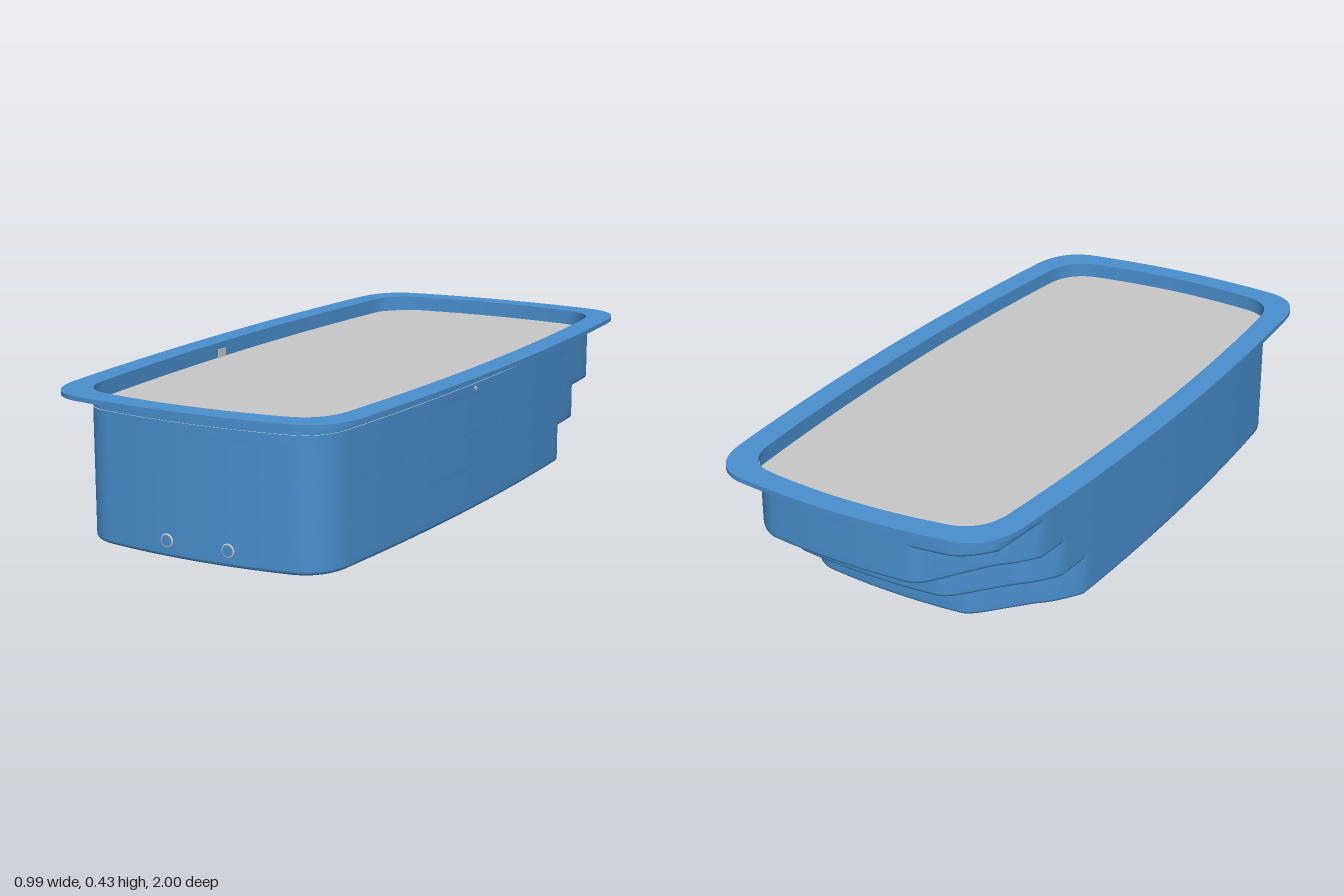
import * as THREE from 'three';

const blue = new THREE.MeshStandardMaterial({ color: 0x4a90d0, side: THREE.DoubleSide });
blue.name = 'shell blue';
const grey = new THREE.MeshStandardMaterial({ color: 0xc8c8c8, side: THREE.DoubleSide });
grey.name = 'water grey';

// bowed rectangle with soft corners, inset by d (shape y points to the back)
function outline(d, Type = THREE.Shape) {
  const w = 0.497 - d, xs = 0.464 - d, zc = 0.81 - d * 0.4;
  const b = 1 - d, zs = 0.978 - d, xe = 0.32 - d * 0.6;
  const kx = 0.45 - d, kz = 0.965 - d;
  const s = new Type();
  s.moveTo(xs, -zc);
  s.quadraticCurveTo(2 * w - xs, 0, xs, zc);
  s.quadraticCurveTo(kx, kz, xe, zs);
  s.quadraticCurveTo(0, 2 * b - zs, -xe, zs);
  s.quadraticCurveTo(-kx, kz, -xs, zc);
  s.quadraticCurveTo(-(2 * w - xs), 0, -xs, -zc);
  s.quadraticCurveTo(-kx, -kz, -xe, -zs);
  s.quadraticCurveTo(0, -(2 * b - zs), xe, -zs);
  s.quadraticCurveTo(kx, -kz, xs, -zc);
  return s;
}

function add(group, name, geometry, material) {
  const m = new THREE.Mesh(geometry, material);
  m.name = name;
  group.add(m);
  return m;
}

// tub outline whose back edge sits at "back" and recedes by "wave" on one side
function tierPoints(back, wave) {
  const edge = x => {
    const a = Math.abs(x);
    return back - 0.02 * (x / 0.28) ** 2 - 0.1 * (Math.max(0, a - 0.28) / 0.13) ** 2
      - wave * (1 - THREE.MathUtils.smoothstep(x, -0.34, -0.17));
  };
  const half = y => 0.427 - 0.033 * (y / 0.782) ** 2;
  const full = outline(0.07).getPoints(24);
  const front = full.filter(p => p.y <= 0);
  const right = [], left = [], rear = [];
  // front loop runs from the left-hand side round to the right-hand side
  const split = front.findIndex((p, i) => i > 0 && front[i - 1].x > 0 && p.x < 0 && p.y > -0.2);
  const loop = [...front.slice(split), ...front.slice(0, split)];
  const meet = sign => {
    let y = 0.6;
    for (let i = 0; i < 12; i++) y = edge(sign * half(y));
    return y;
  };
  const yr = meet(1), yl = meet(-1);
  for (let i = 1; i < 16; i++) {
    right.push(new THREE.Vector2(half(yr * i / 16), yr * i / 16));
    left.unshift(new THREE.Vector2(-half(yl * i / 16), yl * i / 16));
  }
  for (let i = 0; i <= 60; i++) {
    const x = THREE.MathUtils.lerp(half(yr), -half(yl), i / 60);
    rear.push(new THREE.Vector2(x, edge(x)));
  }
  const pts = [...loop, ...right, ...rear, ...left];
  return pts.filter((p, i) => p.distanceTo(pts[(i + 1) % pts.length]) > 1e-4);
}

// wall with a rounded bottom edge plus its underside
function addTier(group, name, pts, y0, y1) {
  const n = pts.length, r = 0.012;
  const inward = pts.map((p, i) => {
    const t = pts[(i + 1) % n].clone().sub(pts[(i + n - 1) % n]).normalize();
    return new THREE.Vector2(-t.y, t.x);
  });
  const levels = [];
  for (let k = 0; k <= 4; k++) {
    const a = k / 4 * Math.PI / 2;
    levels.push([y0 + r * (1 - Math.cos(a)), r * (1 - Math.sin(a))]);
  }
  levels.push([y0 + 0.03, 0], [y1, 0]);
  const pos = [], index = [];
  levels.forEach(([y, inset], k) => {
    for (let i = 0; i < n; i++) {
      const p = pts[i].clone().addScaledVector(inward[i], inset);
      pos.push(p.x, y, -p.y);
      if (k < levels.length - 1) {
        const a = k * n + i, b = k * n + (i + 1) % n;
        index.push(a, b, b + n, a, b + n, a + n);
      }
    }
  });
  const wall = new THREE.BufferGeometry();
  wall.setAttribute('position', new THREE.Float32BufferAttribute(pos, 3));
  wall.setIndex(index);
  wall.computeVertexNormals();
  add(group, name + 'Wall', wall, blue);

  const base = pts.map((p, i) => p.clone().addScaledVector(inward[i], r));
  const under = new THREE.ShapeGeometry(new THREE.Shape(base));
  under.rotateX(-Math.PI / 2).translate(0, y0, 0);
  add(group, name + 'Underside', under, blue);
}

export function createModel() {
  const pool = new THREE.Group();
  pool.name = 'pool';

  // flat rim
  const ring = outline(0);
  ring.holes.push(outline(0.072, THREE.Path));
  const rim = new THREE.ExtrudeGeometry(ring, { depth: 0.013, bevelEnabled: false, curveSegments: 32 });
  rim.rotateX(-Math.PI / 2).translate(0, 0.412, 0);
  add(pool, 'rim', rim, blue);

  // tub tiers: name, back edge, side recess, bottom, top
  const tiers = [
    ['floorTier', 0.688, 0.12, 0, 0.14],
    ['middleStep', 0.803, 0.13, 0.115, 0.245],
    ['upperStep', 0.93, 0.17, 0.22, 0.355],
    ['collar', 0.93, 0, 0.33, 0.42],
  ];
  for (const [name, back, wave, y0, y1] of tiers) addTier(pool, name, tierPoints(back, wave), y0, y1);

  // water sheet
  const water = new THREE.ShapeGeometry(outline(0.067), 32);
  water.rotateX(-Math.PI / 2).translate(0, 0.378, 0);
  add(pool, 'water', water, grey);

  // outlets low on the front wall
  for (const x of [-0.08, 0.115]) {
    const outlet = add(pool, 'outlet', new THREE.TorusGeometry(0.017, 0.003, 8, 24), grey);
    outlet.position.set(x, 0.048, 0.931);
    const pipe = add(pool, 'outletPipe', new THREE.CylinderGeometry(0.016, 0.016, 0.02, 24), blue);
    pipe.rotation.x = Math.PI / 2;
    pipe.position.set(x, 0.048, 0.924);
  }

  // skimmer and small nozzle on the side walls
  add(pool, 'skimmer', new THREE.BoxGeometry(0.008, 0.03, 0.04), grey).position.set(-0.426, 0.388, 0.13);
  const nozzle = add(pool, 'nozzle', new THREE.CylinderGeometry(0.006, 0.006, 0.008, 16), grey);
  nozzle.rotation.z = Math.PI / 2;
  nozzle.position.set(0.426, 0.362, 0.095);
  return pool;
}
